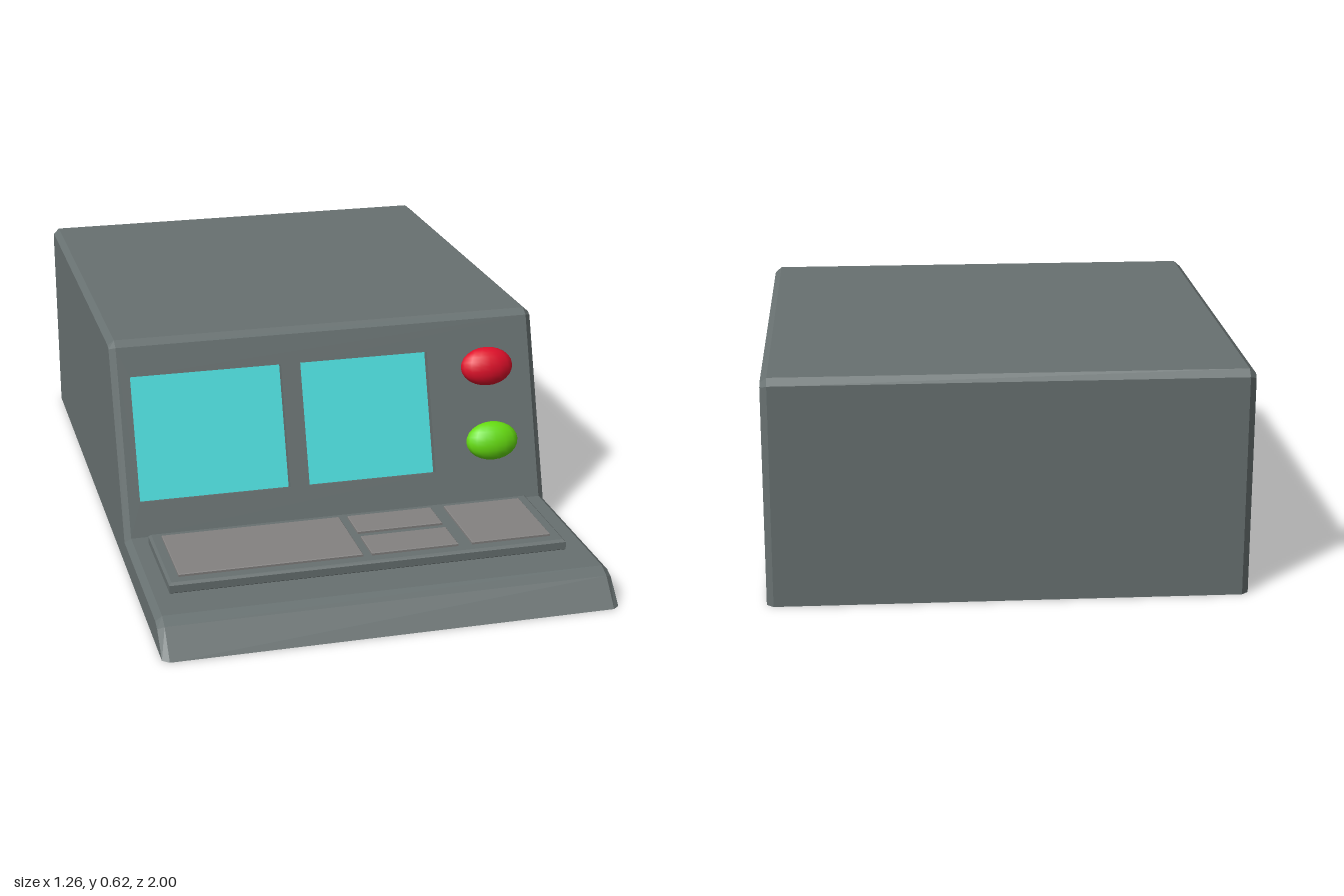
import * as THREE from 'three';

const material = (color) => new THREE.MeshStandardMaterial({ color, side: THREE.DoubleSide });
const casing = material(0x687171);
const glass = material(0x4ee0e0);
const keyGrey = material(0x848281);

// Side profile as [z, y], front lip to back: full outline, and the inset outline of the side walls
const OUTER = [[1, 0], [0.935, 0.07], [0.9, 0.085], [0.41, 0.085], [0.24, 0.6], [0.215, 0.615], [-0.982, 0.615], [-1, 0.597], [-1, 0]];
const INNER = [[0.985, 0], [0.924, 0.06], [0.897, 0.07], [0.4, 0.07], [0.225, 0.593], [0.21, 0.6], [-0.975, 0.6], [-0.985, 0.59], [-0.985, 0]];
const PANEL = 3; // profile segment that holds the screens
const W = 0.632, WI = 0.614;

// Screens on the sloped panel: [x0, x1, v0, v1], v measured up the slope
const SCREENS = [[-0.58, -0.14, 0.1, 0.457], [-0.083, 0.3, 0.1, 0.457]];
const DEPTH = 0.025;

function mesh(name, geometry, mat) {
  const m = new THREE.Mesh(geometry, mat);
  m.name = name;
  return m;
}

// Flat-shaded geometry from a list of four-cornered faces
function quads(faces) {
  const pos = [];
  for (const [a, b, c, d] of faces) pos.push(...a, ...b, ...c, ...a, ...c, ...d);
  const g = new THREE.BufferGeometry();
  g.setAttribute('position', new THREE.Float32BufferAttribute(pos, 3));
  g.computeVertexNormals();
  return g;
}

const corners = ([x0, x1, y0, y1]) => [[x0, y0], [x1, y0], [x1, y1], [x0, y1]];
const toShape = (pts) => new THREE.Shape(pts.map(([x, y]) => new THREE.Vector2(x, y)));

// Low bevelled slab lying on the deck: rect is [x0, x1, z0, z1]
function slab(name, [x0, x1, z0, z1], bottom, top, bevel, mat) {
  const shape = toShape(corners([x0 + bevel, x1 - bevel, -z1 + bevel, -z0 - bevel]));
  const g = new THREE.ExtrudeGeometry(shape, {
    depth: top - bottom - 2 * bevel, bevelThickness: bevel, bevelSize: bevel, bevelSegments: 1,
  });
  g.rotateX(-Math.PI / 2).translate(0, bottom + bevel, 0);
  return mesh(name, g, mat);
}

export function createModel() {
  const model = new THREE.Group();
  model.name = 'console';

  // Open-bottomed shell: top strips with chamfers along both sides
  const row = (i) => [[-W, INNER], [-WI, OUTER], [WI, OUTER], [W, INNER]].map(([x, p]) => [x, p[i][1], p[i][0]]);
  const faces = [];
  for (let i = 0; i < OUTER.length - 1; i++) {
    const p = row(i), q = row(i + 1);
    for (let j = 0; j < 3; j++) {
      if (i === PANEL && j === 1) continue;
      faces.push([p[j], p[j + 1], q[j + 1], q[j]]);
    }
  }
  model.add(mesh('shell', quads(faces), casing));

  // Side walls
  for (const s of [1, -1]) {
    const wall = new THREE.ShapeGeometry(toShape(INNER.map(([z, y]) => [-s * z, y])));
    wall.rotateY((s * Math.PI) / 2).translate(s * W, 0, 0);
    model.add(mesh(s > 0 ? 'leftWall' : 'rightWall', wall, casing));
  }

  // Sloped panel with screen openings
  const [[z0, y0], [z1, y1]] = [OUTER[PANEL], OUTER[PANEL + 1]];
  const panel = new THREE.Group();
  panel.name = 'displayPanel';
  panel.position.set(0, y0, z0);
  panel.rotation.x = -Math.atan2(z0 - z1, y1 - y0);
  const face = toShape(corners([-WI, WI, 0, Math.hypot(z0 - z1, y1 - y0)]));
  for (const s of SCREENS) face.holes.push(toShape(corners(s)));
  panel.add(mesh('panelFace', new THREE.ShapeGeometry(face), casing));

  // Recess walls and screens
  SCREENS.forEach((s, n) => {
    const c = corners(s);
    const walls = c.map((a, i) => {
      const b = c[(i + 1) % 4];
      return [[...a, 0], [...a, -DEPTH], [...b, -DEPTH], [...b, 0]].reverse();
    });
    panel.add(mesh('screenRecess' + (n + 1), quads(walls), casing));
    panel.add(mesh('screen' + (n + 1), quads([c.map((p) => [...p, -DEPTH])]), glass));
  });

  // Domed buttons
  for (const [name, v, color] of [['redButton', 0.4, 0xe0102a], ['greenButton', 0.179, 0x66dd11]]) {
    const b = mesh(name, new THREE.SphereGeometry(1, 16, 12), material(color));
    b.scale.set(0.08, 0.057, 0.042);
    b.position.set(0.481, v, 0);
    panel.add(b);
  }
  model.add(panel);

  // Keyboard tray and key blocks
  model.add(slab('keyboardTray', [-0.572, 0.555, 0.455, 0.78], 0.08, 0.115, 0.007, casing));
  const keys = [[-0.54, -0.025, 0.49, 0.745], [0, 0.25, 0.49, 0.6], [0, 0.25, 0.63, 0.745], [0.29, 0.52, 0.49, 0.745]];
  keys.forEach((k, i) => model.add(slab('keyBlock' + (i + 1), k, 0.11, 0.123, 0.002, keyGrey)));

  return model;
}
